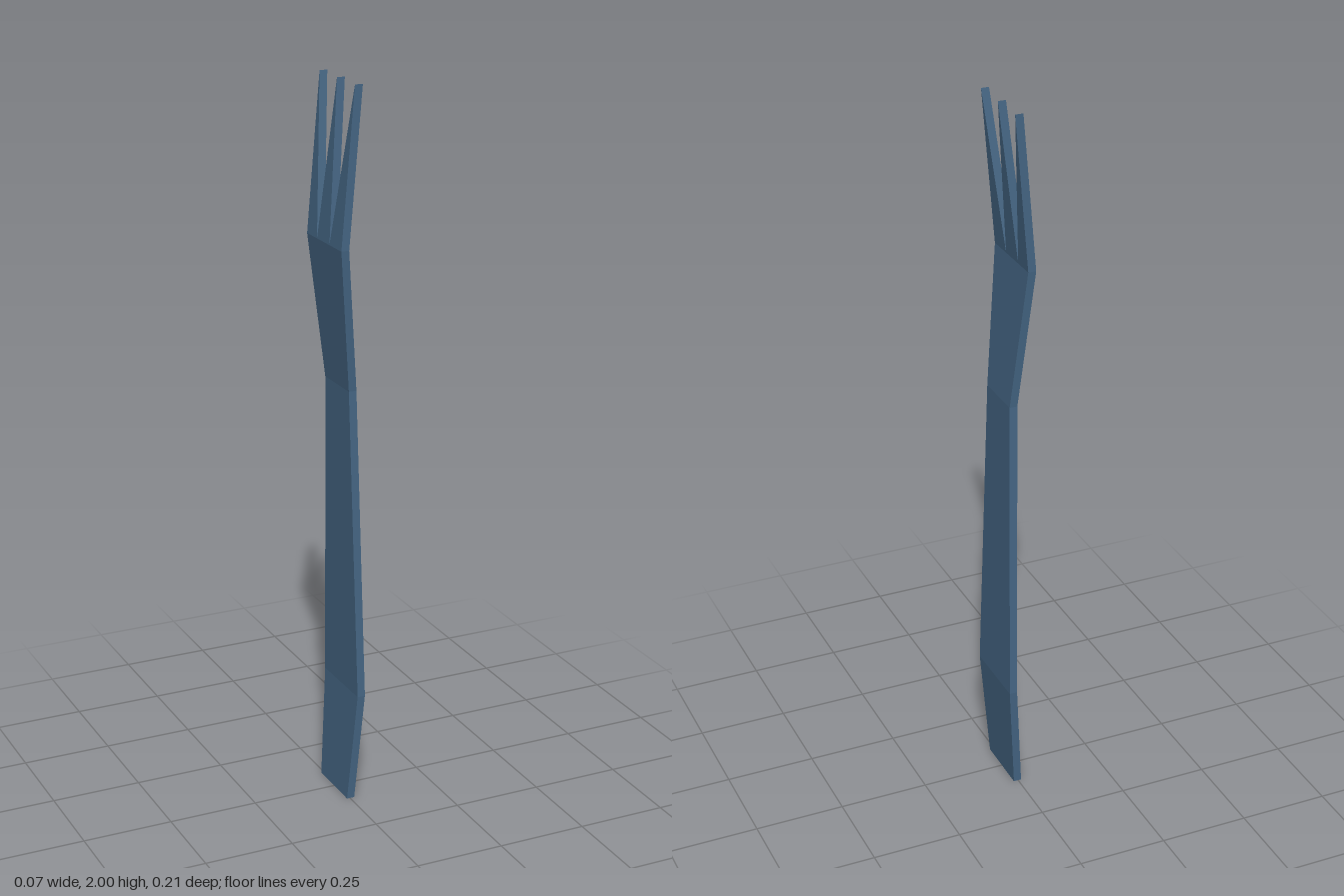
import * as THREE from 'three';

const THICK = 0.022;

// Flat-sided strip through rectangular sections [y, x, zMin, zMax]
function strip(sections, capBottom) {
  const rings = sections.map(([y, x, a, b]) => [
    [x, y, a], [x + THICK, y, a], [x + THICK, y, b], [x, y, b],
  ]);
  const pos = [];
  const tri = (...pts) => pts.forEach((p) => pos.push(...p));
  for (let r = 0; r < rings.length - 1; r++) {
    const low = rings[r], up = rings[r + 1];
    for (let i = 0; i < 4; i++) {
      const j = (i + 1) % 4;
      tri(low[i], up[i], up[j]);
      tri(low[i], up[j], low[j]);
    }
  }
  if (capBottom) {
    const [a, b, c, d] = rings[0];
    tri(a, b, c);
    tri(a, c, d);
  }
  const geo = new THREE.BufferGeometry();
  geo.setAttribute('position', new THREE.Float32BufferAttribute(pos, 3));
  geo.computeVertexNormals();
  return geo;
}

export function createModel() {
  const group = new THREE.Group();
  group.name = 'fork';
  const blue = new THREE.MeshStandardMaterial({ color: 0x456684, flatShading: true, side: THREE.DoubleSide });
  blue.name = 'slate blue';

  const add = (name, geo) => {
    const mesh = new THREE.Mesh(geo, blue);
    mesh.name = name;
    group.add(mesh);
  };

  // Handle and neck, gently bent
  add('handle', strip([
    [0, -0.009, -0.085, 0.085],
    [0.315, 0.013, -0.105, 0.105],
    [1.185, 0.0, -0.073, 0.073],
  ], true));

  // Flared head
  add('head', strip([
    [1.185, 0.0, -0.073, 0.073],
    [1.575, -0.037, -0.105, 0.105],
  ]));

  // Three tines, each tapering to an edge: [base start, base end, tip]
  const tines = [[-0.105, -0.043, -0.105], [-0.043, 0.033, 0], [0.033, 0.105, 0.105]];
  tines.forEach(([a, b, tip], i) => {
    add(`tine${i + 1}`, strip([[1.575, -0.037, a, b], [2, 0, tip, tip]]));
  });

  return group;
}
